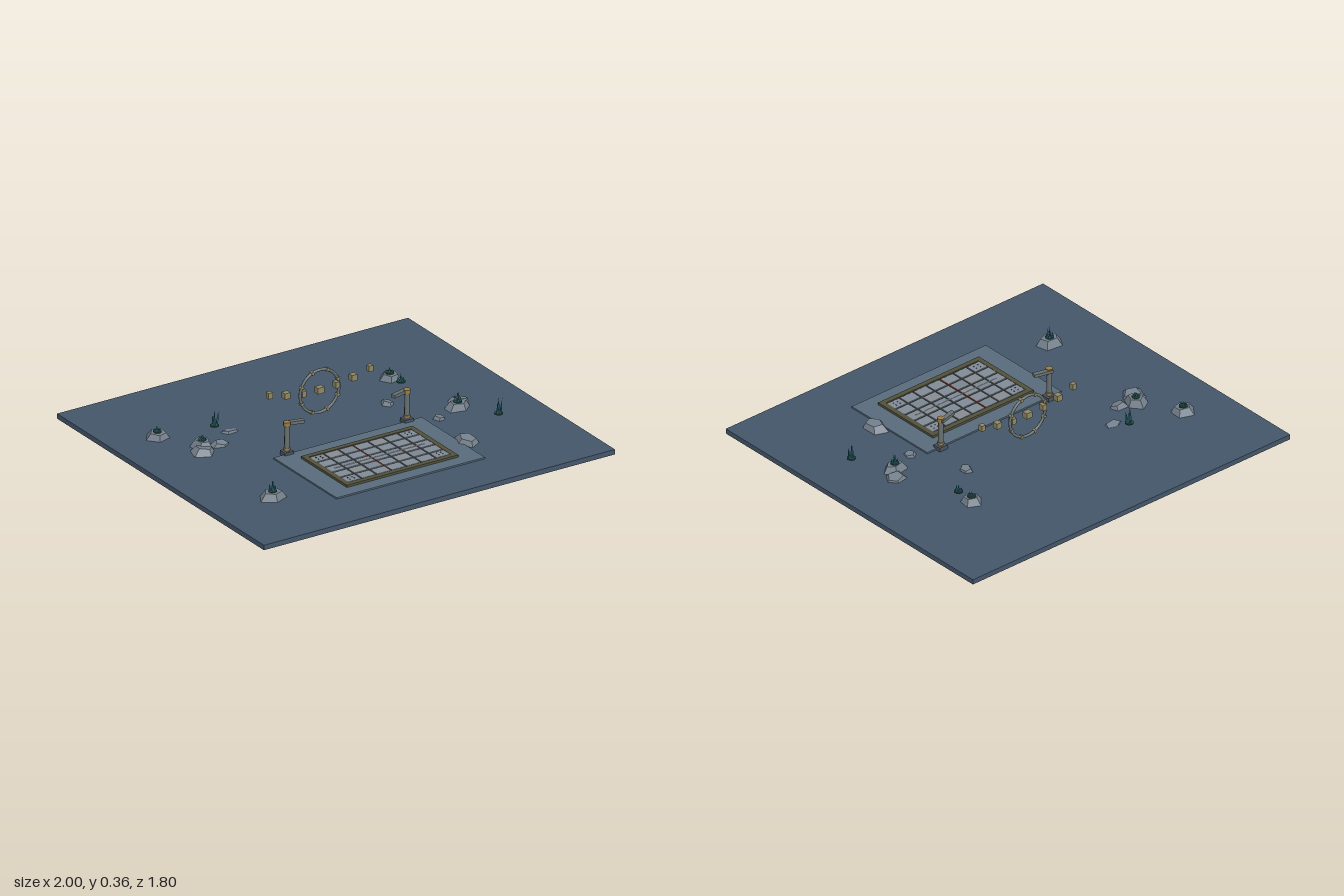
import * as THREE from 'three';

const mat = (color, flat = false) => new THREE.MeshStandardMaterial({ color, flatShading: flat });
const floorMat = mat(0x44566a), deckMat = mat(0x586b7b), frameMat = mat(0x50503c);
const bedMat = mat(0x3c4436), tileMats = [mat(0x808a96), mat(0x7a8590), mat(0x858c92)];
const rockMat = mat(0x74808c, true), metalMat = mat(0x68706f), stoneMat = mat(0x8f8763);
const goldMat = mat(0x9a7d45), bladeMat = mat(0x2d7d86, true), mossMat = mat(0x2c473f);
const redMat = mat(0xa04a3c), whiteMat = mat(0xa9b9c6), darkMat = mat(0x4a545e);

function add(parent, name, geometry, material, x = 0, y = 0, z = 0) {
  const m = new THREE.Mesh(geometry, material);
  m.name = name;
  m.position.set(x, y, z);
  parent.add(m);
  return m;
}
const box = (w, h, d) => new THREE.BoxGeometry(w, h, d);
const cyl = (rt, rb, h, n = 10) => new THREE.CylinderGeometry(rt, rb, h, n);

// Flattened boulder with a facet on top; tilt leans it a little
function rock(parent, name, x, y, z, rx, rz, halfHeight, turn, tilt) {
  const g = new THREE.DodecahedronGeometry(1);
  g.rotateX(0.5536 + tilt);
  g.rotateY(turn);
  g.computeBoundingBox();
  const b = g.boundingBox;
  g.scale(rx / b.max.x, halfHeight / b.max.y, rz / b.max.z);
  return add(parent, name, g, rockMat, x, y, z);
}

// Tuft of pointed blades on a thin round base
function plant(parent, x, y, z, height) {
  const p = new THREE.Group();
  p.name = 'plant';
  p.position.set(x, y, z);
  add(p, 'plantBase', cyl(0.022, 0.022, 0.006, 10), mossMat);
  for (let i = 0; i < 5; i++) {
    const a = i * 2.513 + x * 5, h = height * (1 - 0.13 * i);
    const g = new THREE.ConeGeometry(0.007, h, 5);
    g.translate(0, h / 2, 0);
    const r = i ? 0.012 : 0;
    const blade = add(p, 'blade', g, bladeMat, Math.cos(a) * r, 0, Math.sin(a) * r);
    if (i) blade.rotation.set(Math.sin(a) * 0.13, 0, -Math.cos(a) * 0.13);
  }
  parent.add(p);
}

function court(parent) {
  const c = new THREE.Group();
  c.name = 'court';
  c.position.z = 0.38;
  add(c, 'deck', box(0.845, 0.01, 0.55), deckMat, 0, 0.083, -0.005);
  add(c, 'courtBed', box(0.6, 0.012, 0.36), bedMat, 0, 0.088, 0);
  // Raised border
  for (const s of [-1, 1]) {
    add(c, 'borderLong', box(0.635, 0.018, 0.027), frameMat, 0, 0.091, s * 0.186);
    add(c, 'borderShort', box(0.027, 0.018, 0.35), frameMat, s * 0.304, 0.091, 0);
  }
  // Paving, seven by five
  for (let i = 0; i < 7; i++) for (let j = 0; j < 5; j++) {
    add(c, 'tile', box(0.077, 0.008, 0.06), tileMats[(i * 2 + j * 3 + i * j) % 3],
      (i - 3) * 0.0845, 0.0945, (j - 2) * 0.0685);
  }
  // Inlaid lines
  add(c, 'redLine', box(0.005, 0.003, 0.34), redMat, -0.044, 0.1, 0);
  add(c, 'whiteLine', box(0.51, 0.003, 0.004), whiteMat, 0, 0.0995, 0);
  // Studs in the corner tiles
  for (const sx of [-1, 1]) for (const sz of [-1, 1]) for (const [dx, dz] of [[-1, -1], [1, -1], [-1, 1], [1, 1]]) {
    add(c, 'stud', cyl(0.003, 0.003, 0.003, 6), darkMat, sx * 0.253 + dx * 0.012, 0.1, sz * 0.137 + dz * 0.01);
  }
  parent.add(c);
}

// Post with a short arm reaching inward
function lampPost(parent, s) {
  const p = new THREE.Group();
  p.name = s > 0 ? 'leftPost' : 'rightPost';
  p.position.set(s * 0.342, 0, 0.095);
  add(p, 'postFoot', box(0.05, 0.022, 0.045), darkMat, 0, 0.091, 0);
  add(p, 'post', cyl(0.012, 0.014, 0.14, 8), metalMat, 0, 0.168, 0);
  add(p, 'postCollar', cyl(0.017, 0.017, 0.01, 8), goldMat, 0, 0.115, 0);
  add(p, 'postCap', cyl(0.018, 0.018, 0.021, 8), goldMat, 0, 0.243, 0);
  const arm = add(p, 'arm', box(0.1, 0.016, 0.024), metalMat, -s * 0.04, 0.242, 0);
  arm.rotation.y = s * 0.26;
  parent.add(p);
}

function ringGate(parent) {
  const g = new THREE.Group();
  g.name = 'ringGate';
  g.position.set(0, 0.238, -0.143);
  add(g, 'ring', new THREE.TorusGeometry(0.111, 0.0075, 8, 40), metalMat);
  for (let i = 0; i < 8; i++) {
    const a = (i + 0.5) * Math.PI / 4;
    add(g, 'ringClasp', box(0.019, 0.012, 0.019), stoneMat, Math.cos(a) * 0.111, Math.sin(a) * 0.111, 0).rotation.z = a;
  }
  // Hanging arc of floating stones
  for (let i = -3; i <= 3; i++) {
    const w = i === 0 ? 0.036 : Math.abs(i) === 2 ? 0.03 : 0.024;
    add(g, 'floatingStone', box(w, 0.031, Math.abs(i) === 3 ? 0.024 : 0.03), stoneMat,
      i * 0.0955, 0.007 + 0.0047 * i * i, 0);
  }
  parent.add(g);
}

export function createModel() {
  const model = new THREE.Group();
  model.name = 'sunkenCourt';
  add(model, 'seabed', box(2, 0.026, 1.8), floorMat, 0, 0.067, 0);
  court(model);
  for (const s of [-1, 1]) lampPost(model, s);
  ringGate(model);

  // Boulders: x, y, z, half width, half depth, half height, turn, tilt
  [
    [-0.75, 0.064, -0.41, 0.066, 0.06, 0.05, 0.3, 0.1],
    [-0.63, 0.067, -0.205, 0.056, 0.066, 0.052, 1.1, 0.05],
    [-0.665, 0.062, -0.145, 0.068, 0.065, 0.05, 2.0, 0.25],
    [-0.55, 0.06, -0.175, 0.056, 0.042, 0.046, 0.7, 0.3],
    [-0.425, 0.046, -0.275, 0.064, 0.042, 0.046, 2.6, 0.2],
    [-0.67, 0.066, 0.47, 0.074, 0.06, 0.052, 0.5, 0.05],
    [0.545, 0.064, -0.365, 0.058, 0.055, 0.05, 0.2, 0.1],
    [0.375, 0.056, -0.13, 0.035, 0.047, 0.045, 1.7, 0.2],
    [0.63, 0.066, 0.095, 0.072, 0.048, 0.052, 0.9, 0.08],
    [0.675, 0.06, 0.035, 0.066, 0.055, 0.046, 2.2, 0.3],
    [0.49, 0.054, 0.145, 0.036, 0.042, 0.044, 1.3, 0.15],
    [0.455, 0.062, 0.44, 0.06, 0.08, 0.05, 0.4, 0.12],
    [-0.47, 0.044, -0.34, 0.035, 0.035, 0.033, 0.6, 0.1],
    [0.55, 0.044, -0.275, 0.035, 0.035, 0.033, 1.5, 0.1],
    [0.74, 0.044, 0.285, 0.035, 0.037, 0.033, 2.4, 0.1],
  ].forEach((r) => rock(model, 'boulder', ...r));

  // Plants: x, y, z, blade height
  [
    [-0.47, 0.1, -0.34, 0.085], [0.55, 0.1, -0.275, 0.04], [0.74, 0.1, 0.285, 0.085],
    [-0.75, 0.113, -0.41, 0.025], [-0.63, 0.117, -0.205, 0.025], [-0.67, 0.116, 0.47, 0.06],
    [0.545, 0.113, -0.365, 0.027], [0.63, 0.117, 0.095, 0.052],
  ].forEach((p) => plant(model, ...p));
  return model;
}
